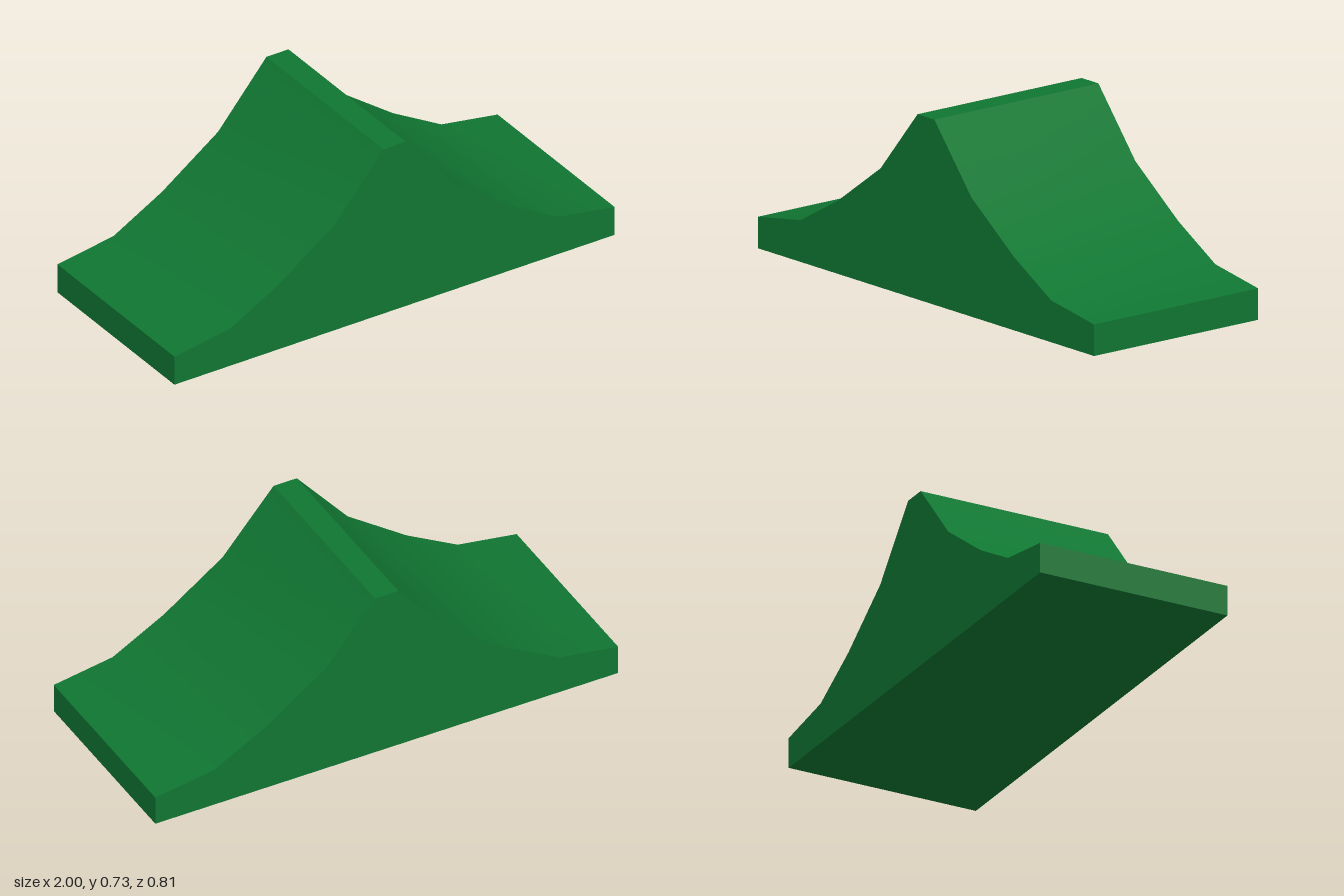
import * as THREE from 'three';
import { toCreasedNormals } from 'three/addons/utils/BufferGeometryUtils.js';

export function createModel() {
  const model = new THREE.Group();
  model.name = 'ridgeRamp';

  const green = new THREE.MeshStandardMaterial({ color: 0x107632 });
  green.name = 'green';

  // Half profile from the base corner up to the crest, mirrored for the other side
  const half = [[1, 0], [1, 0.124], [0.745, 0.165], [0.525, 0.288], [0.27, 0.47], [0.05, 0.73]];
  const mirrored = half.map(([x, y]) => [-x, y]).reverse();
  const profile = new THREE.Shape([...half, ...mirrored].map(([x, y]) => new THREE.Vector2(x, y)));

  // Extrude the profile along z, smooth slopes with sharp crest and ends
  const depth = 0.81;
  const geometry = new THREE.ExtrudeGeometry(profile, { depth, bevelEnabled: false });
  geometry.translate(0, 0, -depth / 2);

  const ridge = new THREE.Mesh(toCreasedNormals(geometry, 0.6), green);
  ridge.name = 'ridge';
  model.add(ridge);
  return model;
}
